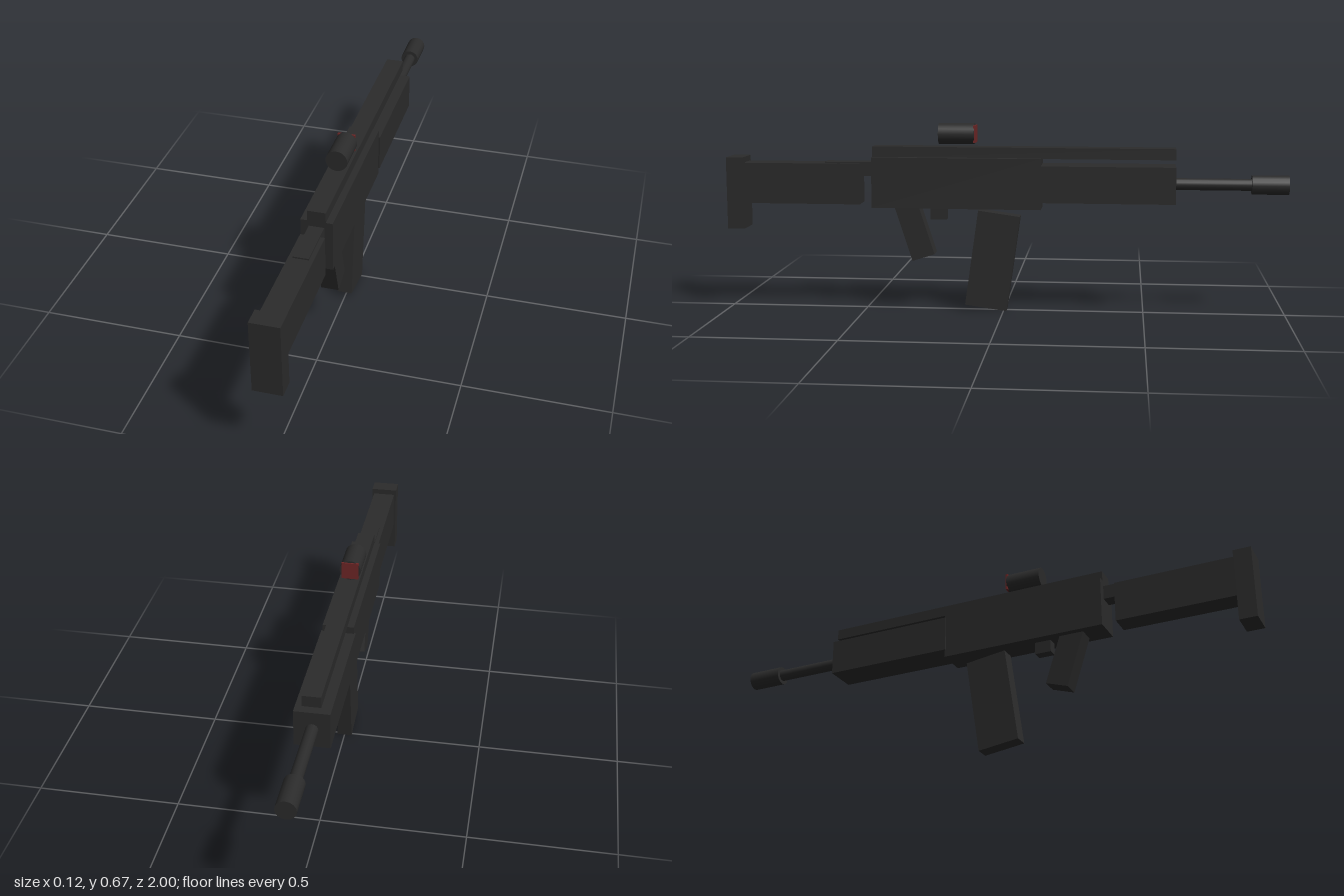
import * as THREE from 'three';

export function createModel() {
  const model = new THREE.Group();
  const gunmetal = new THREE.MeshStandardMaterial({ color: 0x2b2b2b });
  gunmetal.name = 'gunmetal';
  const lensRed = new THREE.MeshStandardMaterial({ color: 0x6e2626 });
  lensRed.name = 'lens red';

  const add = (name, geometry, material, y, z, tilt = 0) => {
    const mesh = new THREE.Mesh(geometry, material);
    mesh.name = name;
    mesh.position.set(0, y, z);
    mesh.rotation.x = tilt;
    model.add(mesh);
  };
  // Straight block given by width and its y and z limits
  const block = (name, width, y0, y1, z0, z1, material = gunmetal) =>
    add(name, new THREE.BoxGeometry(width, y1 - y0, z1 - z0), material, (y0 + y1) / 2, (z0 + z1) / 2);
  // Block leaning about the x axis
  const leaning = (name, w, h, d, y, z, tilt) =>
    add(name, new THREE.BoxGeometry(w, h, d), gunmetal, y, z, tilt);
  // Cylinder lying along z
  const tube = (name, r, y, z0, z1, sides) =>
    add(name, new THREE.CylinderGeometry(r, r, z1 - z0, sides).rotateX(Math.PI / 2), gunmetal, y, (z0 + z1) / 2);

  // Body
  block('receiver', 0.108, 0.374, 0.555, -0.135, 0.47);
  block('handguard', 0.119, 0.4, 0.53, -0.607, -0.13);
  block('topRail', 0.062, 0.553, 0.592, -0.607, 0.47);

  // Stock
  block('stockConnector', 0.052, 0.485, 0.535, 0.46, 0.643);
  block('stock', 0.082, 0.384, 0.53, 0.515, 0.945);
  block('buttPlate', 0.098, 0.291, 0.55, 0.938, 1);

  // Barrel
  tube('barrel', 0.021, 0.466, -0.9, -0.55, 16);
  tube('muzzle', 0.034, 0.466, -1, -0.872, 16);

  // Grip, trigger and magazine
  leaning('grip', 0.062, 0.22, 0.084, 0.297, 0.322, 0.314);
  block('trigger', 0.036, 0.33, 0.38, 0.205, 0.264);
  leaning('magazine', 0.053, 0.347, 0.151, 0.183, 0.04, -0.14);

  // Sight, with a square lens plate on its forward end
  tube('sight', 0.0375, 0.638, 0.104, 0.232, 24);
  block('sightLens', 0.061, 0.6075, 0.6685, 0.099, 0.107, lensRed);

  return model;
}
